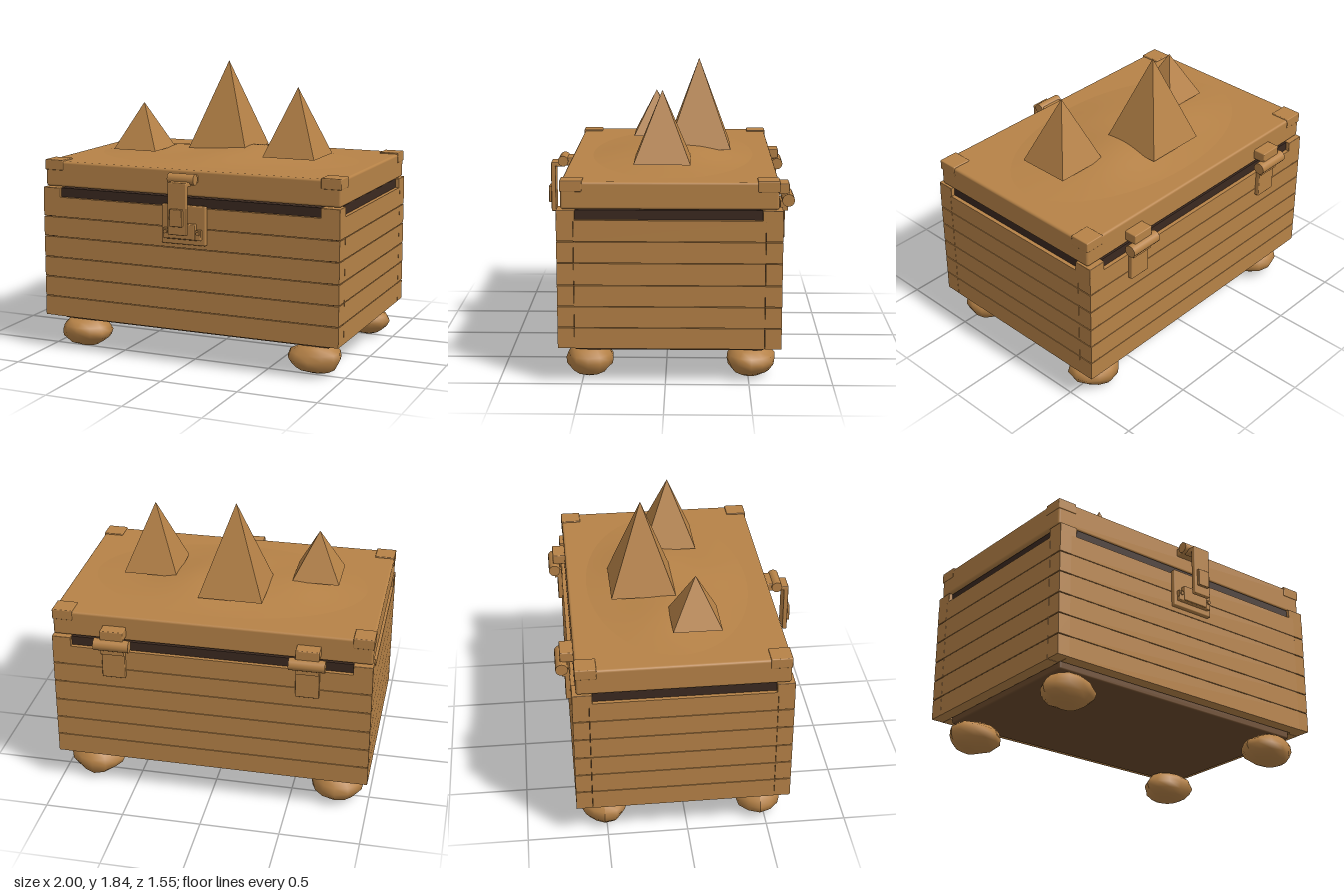
import * as THREE from 'three';
import { RoundedBoxGeometry } from 'three/addons/geometries/RoundedBoxGeometry.js';

export function createModel() {
  const model = new THREE.Group();
  const material = (name, color) => {
    const m = new THREE.MeshStandardMaterial({ color });
    m.name = name;
    return m;
  };
  const wood = material('warm wood', 0xb68247);
  const base = material('dark brown base', 0x6b4a2c);
  const dark = material('dark interior', 0x3b2920);

  const add = (name, geo, mat = wood, parent = model) => {
    const m = new THREE.Mesh(geo, mat);
    m.name = name;
    parent.add(m);
    return m;
  };
  // Box given by its extents; r rounds the edges
  const box = (name, x0, x1, y0, y1, z0, z1, r = 0, mat = wood, parent = model) => {
    const s = [x1 - x0, y1 - y0, z1 - z0];
    const geo = r ? new RoundedBoxGeometry(...s, 2, r) : new THREE.BoxGeometry(...s);
    geo.translate((x0 + x1) / 2, (y0 + y1) / 2, (z0 + z1) / 2);
    return add(name, geo, mat, parent);
  };
  const rod = (name, x, y, z, r, len, parent = model) => {
    const geo = new THREE.CylinderGeometry(r, r, len, 16).rotateZ(Math.PI / 2);
    return add(name, geo.translate(x, y, z), wood, parent);
  };

  // Chest body: dark core showing as a rim, stacked planks and corner blocks
  const F = 0.64, B = -0.69;
  box('darkCore', -0.975, 0.975, 0.24, 1.066, -0.665, 0.62, 0, dark);
  box('basePlate', -0.915, 0.915, 0.19, 0.245, -0.59, 0.545, 0.012, base);
  const seams = [0.225, 0.355, 0.485, 0.615, 0.75, 0.88, 1.01];
  const g = 0.002;
  for (let i = 0; i < 6; i++) {
    const y0 = seams[i] + g, y1 = seams[i + 1] - g;
    box('frontPlank', -0.92, 0.92, y0, y1, F - 0.08, F);
    box('backPlank', -0.92, 0.92, y0, y1, B, B + 0.08);
    for (const s of [-1, 1]) {
      const [a, b] = s > 0 ? [0.92, 1] : [-1, -0.92];
      box('sidePlank', a, b, y0, y1, -0.589, 0.539);
      box('cornerBlock', a, b, y0 + 0.001, y1 - 0.001, 0.541, F);
      box('cornerBlock', a, b, y0 + 0.001, y1 - 0.001, B, -0.591);
    }
  }
  // Raised corner nubs and lid corner caps
  for (const s of [-1, 1]) {
    const [a, b] = s > 0 ? [0.88, 1] : [-1, -0.88];
    box('bodyCornerNub', a, b, 1.0, 1.068, 0.53, F, 0.004);
    box('bodyCornerNub', a, b, 1.0, 1.068, B, -0.57, 0.004);
    const [c, d] = s > 0 ? [0.87, 0.998] : [-0.998, -0.87];
    box('lidCornerCap', c, d, 1.177, 1.243, 0.487, 0.618, 0.006);
    box('lidCornerCap', c, d, 1.177, 1.243, -0.669, -0.54, 0.006);
  }

  // Lid
  box('lid', -0.995, 0.995, 1.072, 1.235, -0.665, 0.614, 0.015);

  // Uneven sandy mound: an oval disc raised by a smooth rule
  const mound = new THREE.RingGeometry(0.001, 1, 48, 16).rotateX(-Math.PI / 2);
  const p = mound.attributes.position;
  const hill = (x, z, cx, cz, w) => Math.exp(-((x - cx) ** 2 + (z - cz) ** 2) / (w * w));
  for (let i = 0; i < p.count; i++) {
    const r2 = p.getX(i) ** 2 + p.getZ(i) ** 2;
    const x = p.getX(i) * 0.88, z = p.getZ(i) * 0.515 - 0.03;
    const h = 0.026 + 0.05 * hill(x, z, 0.2, -0.17, 0.3) + 0.035 * hill(x, z, -0.48, -0.08, 0.28)
      + 0.02 * hill(x, z, 0, 0.28, 0.25);
    p.setXYZ(i, x, 1.236 + Math.max(0, 1 - r2) * h, z);
  }
  mound.computeVertexNormals();
  add('sandMound', mound);

  // Three square pyramids
  const pyramid = (x, z, w, y1) => {
    const geo = new THREE.ConeGeometry(w / Math.SQRT2, y1 - 1.277, 4).rotateY(Math.PI / 4).toNonIndexed();
    geo.computeVertexNormals();
    add('pyramid', geo.translate(x, (1.277 + y1) / 2, z));
  };
  pyramid(-0.067, -0.198, 0.405, 1.845);
  pyramid(0.503, 0.027, 0.345, 1.71);
  pyramid(-0.55, 0.09, 0.3, 1.577);

  // Lumpy stone feet
  let n = 0;
  for (const x of [-0.795, 0.795]) for (const z of [0.465, -0.515]) {
    const geo = new THREE.SphereGeometry(1, 12, 8);
    const q = geo.attributes.position;
    const k = n++ * 1.7;
    for (let i = 0; i < q.count; i++) {
      const [a, b, c] = [q.getX(i), q.getY(i), q.getZ(i)];
      const f = 1 + 0.06 * Math.sin(4 * a + k) * Math.cos(3 * c + k) + 0.04 * Math.sin(5 * b + 3 * a + k);
      q.setXYZ(i, a * f * 0.17, b * f * 0.098, c * f * 0.148);
    }
    geo.computeVertexNormals();
    add('foot', geo.translate(x, 0.106, z));
  }

  // Front latch
  const latch = new THREE.Group();
  latch.name = 'latch';
  model.add(latch);
  const part = (name, x, y0, y1, z0, z1, r) => box(name, -x, x, y0, y1, z0, z1, r, wood, latch);
  part('latchPlate', 0.148, 0.78, 1.025, 0.635, 0.668, 0.008);
  part('stapleBase', 0.125, 0.815, 0.87, 0.66, 0.692, 0.006);
  part('stapleBridge', 0.09, 0.82, 0.915, 0.66, 0.70, 0.006);
  part('hasp', 0.062, 0.855, 1.17, 0.732, 0.762, 0.006);
  part('haspTop', 0.062, 1.15, 1.178, 0.67, 0.762, 0.006);
  part('haspButton', 0.042, 0.91, 1.018, 0.755, 0.78, 0.005);
  part('pinMount', 0.075, 1.16, 1.21, 0.605, 0.68, 0.006);
  rod('latchPin', 0, 1.19, 0.68, 0.034, 0.175, latch);
  for (const s of [-1, 1]) {
    const rivet = new THREE.CylinderGeometry(0.012, 0.012, 0.012, 12).rotateX(Math.PI / 2);
    add('rivet', rivet.translate(s * 0.11, 0.86, 0.695), wood, latch);
    box('stapleEar', s * 0.11 - 0.016, s * 0.11 + 0.016, 0.84, 0.88, 0.66, 0.69, 0, wood, latch);
  }

  // Rear hinges
  for (const x of [-0.608, 0.602]) {
    const hinge = new THREE.Group();
    hinge.name = 'hinge';
    model.add(hinge);
    rod('hingeBarrel', x, 1.07, -0.737, 0.038, 0.222, hinge);
    box('lowerLeaf', x - 0.073, x + 0.073, 0.832, 1.02, -0.718, -0.685, 0.006, wood, hinge);
    box('leafNeck', x - 0.073, x + 0.073, 1.0, 1.06, -0.735, -0.69, 0, wood, hinge);
    box('upperLeaf', x - 0.073, x + 0.073, 1.1, 1.165, -0.745, -0.655, 0.006, wood, hinge);
  }
  return model;
}
